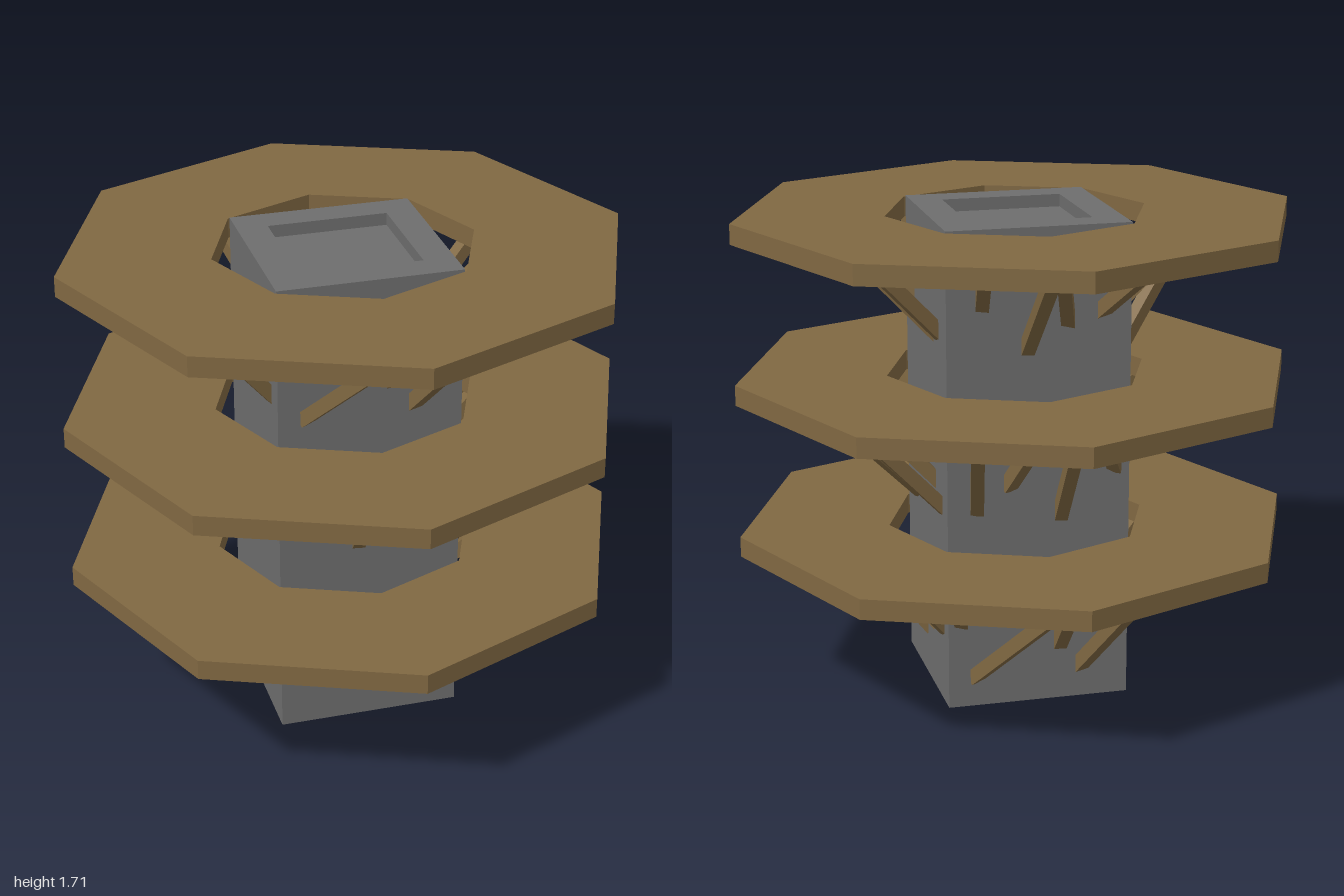
import * as THREE from 'three';

const wood = new THREE.MeshStandardMaterial({ color: 0x806842 });
wood.name = 'wood';
const stone = new THREE.MeshStandardMaterial({ color: 0x6e6e6e });
stone.name = 'stone';

const HALF = 0.325;                        // half width of the core
const HEIGHT = 1.71;
const UNDERSIDES = [0.513, 1.066, 1.633];  // underside of each platform
const THICK = 0.072;

// Strut patterns, one row per level: [foot x, drop below the platform, top x]
const FRONT_ROWS = [
  [[-0.22, 0.36, -0.28], [-0.1, 0.28, -0.03], [0.08, 0.4, 0.06], [0.27, 0.24, 0.17]],
  [[-0.2, 0.21, -0.24], [-0.04, 0.37, -0.06], [0.1, 0.28, 0], [0.23, 0.25, 0.34]],
  [[-0.28, 0.22, -0.34], [-0.22, 0.43, 0.02], [0.08, 0.33, 0.07], [0.16, 0.42, 0.27]],
];
const LEFT_ROWS = [
  [[-0.21, 0.22, -0.29], [-0.04, 0.36, -0.07], [0.1, 0.29, -0.02], [0.23, 0.27, 0.31]],
  [[-0.24, 0.24, -0.3], [-0.17, 0.44, 0.07], [0.12, 0.31, 0.12], [0.22, 0.38, 0.3]],
  [[-0.21, 0.27, -0.29], [-0.09, 0.34, -0.08], [0.1, 0.35, 0.09], [0.18, 0.33, 0.27]],
];

// The back and right sides repeat the opposite rows, shifted up by one level
const SIDES = [
  { name: 'front', rows: FRONT_ROWS, shift: 0, slopes: [1.22, 0.85, 0.97] },
  { name: 'left', rows: LEFT_ROWS, shift: 0, slopes: [0.82, 0.95, 0.95] },
  { name: 'back', rows: FRONT_ROWS, shift: 2, slopes: [1, 0.85, 1.2] },
  { name: 'right', rows: LEFT_ROWS, shift: 2, slopes: [0.95, 1.2, 0.85] },
];

// Square core: a four-sided turned profile with a shallow recess in the top
function makeCore() {
  const r = HALF * Math.SQRT2, inner = 0.215 * Math.SQRT2;
  const profile = [[0, 0], [r, 0], [r, HEIGHT], [inner, HEIGHT], [inner, HEIGHT - 0.045], [0, HEIGHT - 0.045]]
    .map(([x, y]) => new THREE.Vector2(x, y));
  const geometry = new THREE.LatheGeometry(profile, 4, Math.PI / 4).toNonIndexed();
  geometry.computeVertexNormals();
  const mesh = new THREE.Mesh(geometry, stone);
  mesh.name = 'core';
  return mesh;
}

// Octagonal outline, as a shape or as a hole
function octagon(Type, radius) {
  const points = [];
  for (let i = 0; i < 8; i++) {
    const a = (i * Math.PI) / 4;
    points.push(new THREE.Vector2(Math.cos(a) * radius, Math.sin(a) * radius));
  }
  return new Type(points);
}

function makePlatformGeometry() {
  const shape = octagon(THREE.Shape, 1);
  shape.holes.push(octagon(THREE.Path, 0.466));
  return new THREE.ExtrudeGeometry(shape, { depth: THICK, bevelEnabled: false }).rotateX(-Math.PI / 2);
}

// Slanted beam from the core wall to the underside of a platform
function makeStrut([footX, drop, topX], underside, slope) {
  const foot = new THREE.Vector3(footX, underside - drop + 0.035, HALF);
  const top = new THREE.Vector3(topX, underside, HALF + drop * slope - 0.035);
  const dir = top.clone().sub(foot).normalize();
  foot.addScaledVector(dir, -0.03);
  top.addScaledVector(dir, 0.03);
  const mesh = new THREE.Mesh(new THREE.BoxGeometry(0.046, 0.048, foot.distanceTo(top)), wood);
  mesh.position.copy(foot).lerp(top, 0.5);
  mesh.lookAt(top);
  mesh.name = 'strut';
  return mesh;
}

export function createModel() {
  const model = new THREE.Group();
  model.name = 'tower';
  model.add(makeCore());

  const ring = makePlatformGeometry();
  UNDERSIDES.forEach((y, i) => {
    const platform = new THREE.Mesh(ring, wood);
    platform.position.y = y;
    platform.name = `platform${i + 1}`;
    model.add(platform);
  });

  // Struts are laid out facing +z, then each side is turned into place
  SIDES.forEach(({ name, rows, shift, slopes }, side) => {
    const group = new THREE.Group();
    group.name = `${name}Struts`;
    UNDERSIDES.forEach((y, i) => {
      for (const strut of rows[(i + shift) % 3]) group.add(makeStrut(strut, y, slopes[i]));
    });
    group.rotation.y = (side * Math.PI) / 2;
    model.add(group);
  });
  return model;
}
